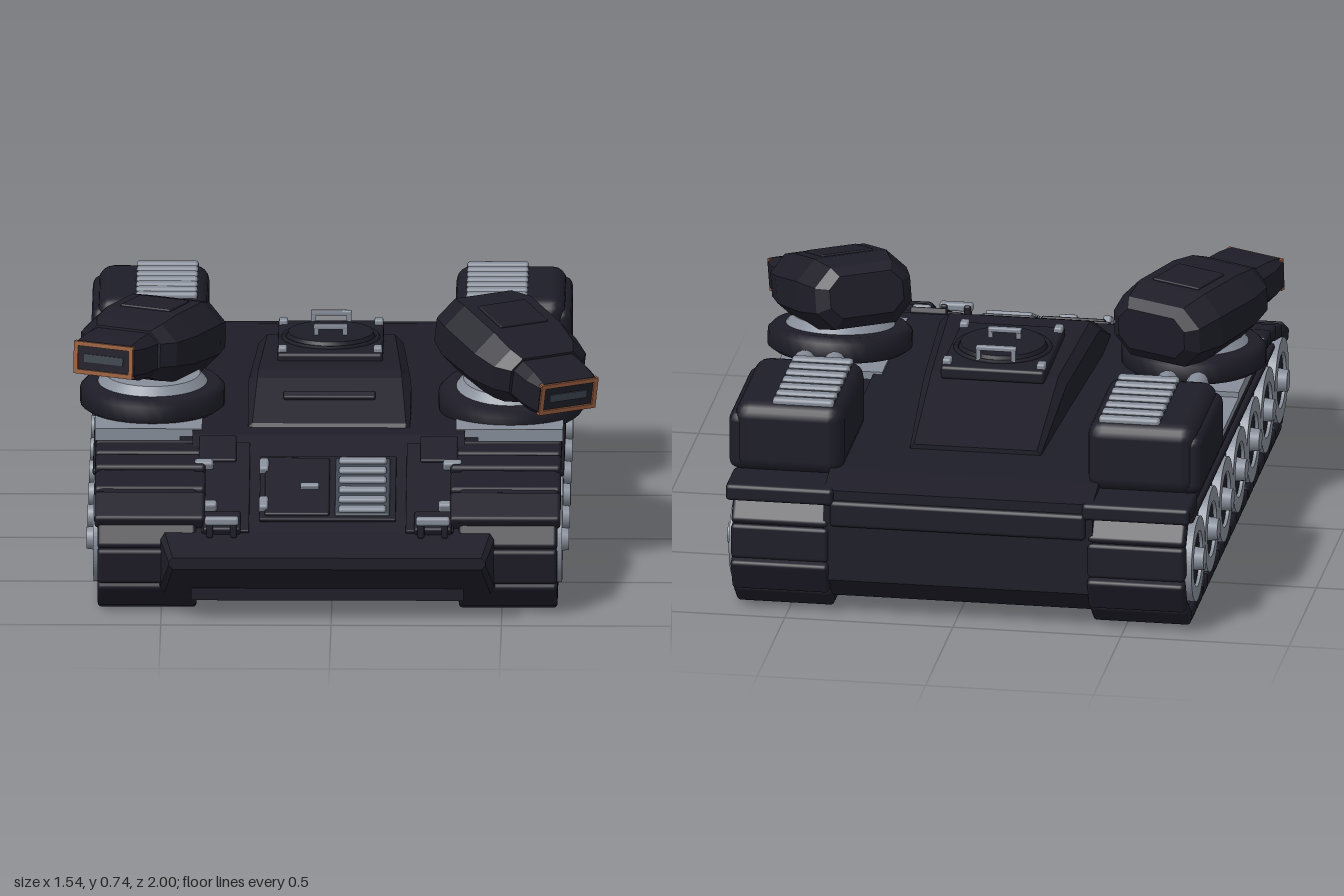
import * as THREE from 'three';
import { RoundedBoxGeometry } from 'three/addons/geometries/RoundedBoxGeometry.js';

const mat = (name, color) => {
  const m = new THREE.MeshStandardMaterial({ color });
  m.name = name;
  return m;
};

export function createModel() {
  const dark = mat('dark armour', 0x1e1d28);
  const steel = mat('light steel', 0x868d99);
  const slate = mat('slate side panel', 0x3d444e);
  const copper = mat('copper rim', 0x9a6040);
  const root = new THREE.Group();
  root.name = 'tank';
  const chassis = new THREE.Group();
  chassis.name = 'chassis';
  chassis.position.x = -0.012;
  root.add(chassis);

  const add = (name, geo, material, x = 0, y = 0, z = 0, parent = chassis) => {
    const m = new THREE.Mesh(geo, material);
    m.name = name;
    m.position.set(x, y, z);
    parent.add(m);
    return m;
  };
  const box = (w, h, d) => new THREE.BoxGeometry(w, h, d);
  const rbox = (w, h, d, r = 0.012) => new RoundedBoxGeometry(w, h, d, 2, r);
  const group = (name, x, y, z, parent = chassis) => {
    const g = new THREE.Group();
    g.name = name;
    g.position.set(x, y, z);
    parent.add(g);
    return g;
  };

  // Loft of bevelled rectangles, each [z, width, bottom, top, bevel], z increasing
  const loft = (sections) => {
    const rings = sections.map(([z, w, b, t, c]) => {
      const x = w / 2;
      return [[x, b + c], [x, t - c], [x - c, t], [c - x, t], [-x, t - c], [-x, b + c], [c - x, b], [x - c, b]]
        .map(([px, py]) => [px, py, z]);
    });
    const v = [];
    const n = rings.length;
    for (let j = 0; j < 8; j++) {
      const k = (j + 1) % 8;
      for (let i = 0; i + 1 < n; i++) {
        const [a, b, c, d] = [rings[i][j], rings[i][k], rings[i + 1][k], rings[i + 1][j]];
        v.push(...a, ...b, ...c, ...a, ...c, ...d);
      }
      if (j > 0 && j < 7) {
        v.push(...rings[n - 1][0], ...rings[n - 1][j], ...rings[n - 1][k]);
        v.push(...rings[0][0], ...rings[0][k], ...rings[0][j]);
      }
    }
    const g = new THREE.BufferGeometry();
    g.setAttribute('position', new THREE.Float32BufferAttribute(v, 3));
    g.computeVertexNormals();
    return g;
  };

  // Side outline of [z, y] points extruded across x
  const sideExtrude = (pts, width) => {
    const s = new THREE.Shape(pts.map(([z, y]) => new THREE.Vector2(-z, y)));
    const g = new THREE.ExtrudeGeometry(s, { depth: width, bevelEnabled: false });
    g.translate(0, 0, -width / 2);
    return g.rotateY(Math.PI / 2);
  };

  // Hull and wedge nose
  add('hull', sideExtrude([[0.9, 0.05], [0.9, 0.24], [0.45, 0.435], [-0.86, 0.425], [-0.98, 0.4],
    [-0.98, 0.12], [-0.9, 0.045]], 0.8), dark);
  add('nose', loft([[0.83, 0.99, 0.045, 0.255, 0.015], [0.88, 0.985, 0.07, 0.25, 0.015],
    [1.0, 0.93, 0.17, 0.205, 0.012]]), dark);
  add('rearPlate', rbox(0.76, 0.08, 0.04), dark, 0, 0.33, -0.975);

  // Tracks, wheels and fenders
  const loop = [[0.8, 0.024], [0.87, 0.1], [0.88, 0.2], [0.83, 0.3], [0.64, 0.36], [0.45, 0.375],
    [-0.9, 0.365], [-0.965, 0.29], [-0.965, 0.13], [-0.87, 0.024]];
  const path = new THREE.CurvePath();
  loop.forEach((p, i) => {
    const q = loop[(i + 1) % loop.length];
    path.add(new THREE.LineCurve3(new THREE.Vector3(0, p[1], p[0]), new THREE.Vector3(0, q[1], q[0])));
  });
  const links = 40;
  const spots = path.getSpacedPoints(links * 2);
  const linkGeo = rbox(0.29, 0.046, 0.106, 0.012);
  const rimShape = new THREE.Shape().absarc(0, 0, 0.127, 0, Math.PI * 2);
  rimShape.holes.push(new THREE.Path().absarc(0, 0, 0.083, 0, Math.PI * 2, true));
  const rimGeo = new THREE.ExtrudeGeometry(rimShape, { depth: 0.05, bevelEnabled: false, curveSegments: 32 })
    .translate(0, 0, -0.03).rotateY(Math.PI / 2);
  const discGeo = new THREE.CylinderGeometry(0.084, 0.084, 0.04, 28).rotateZ(Math.PI / 2);
  const hubGeo = new THREE.CylinderGeometry(0.038, 0.032, 0.05, 20).rotateZ(Math.PI / 2);

  for (const s of [-1, 1]) {
    const track = group(s > 0 ? 'leftTrack' : 'rightTrack', s * 0.53, 0, 0);
    add('trackCore', sideExtrude(loop, 0.264), slate, 0, 0, 0, track);
    for (let i = 0; i < links; i++) {
      const a = spots[i * 2], m = spots[i * 2 + 1], b = spots[i * 2 + 2];
      const link = add('trackLink', linkGeo, dark, 0, m.y, m.z, track);
      link.rotation.x = Math.atan2(a.y - b.y, b.z - a.z);
    }
    for (let i = 0; i < 7; i++) {
      const wheel = group('wheel', s * 0.668, 0.19, 0.715 - i * 0.255);
      if (s < 0) wheel.rotation.y = Math.PI;
      add('wheelRim', rimGeo, steel, 0, 0, 0, wheel);
      add('wheelDisc', discGeo, dark, -0.01, 0, 0, wheel);
      add('wheelHub', hubGeo, steel, 0.015, 0, 0, wheel);
    }
    for (let i = 0; i < 4; i++) {
      const [z, y, tilt] = [[0.505, 0.39, 0.07], [0.595, 0.375, 0.12], [0.7, 0.345, 0.25], [0.82, 0.303, 0.5]][i];
      add('frontGuard', rbox(0.325, 0.045, 0.09 + i * 0.01), dark, s * 0.522, y, z).rotation.x = tilt;
    }
    add('fender', rbox(0.33, 0.035, 1.38), dark, s * 0.52, 0.385, -0.28);
    add('fenderRail', rbox(0.02, 0.022, 1.5, 0.008), dark, s * 0.682, 0.35, -0.18);
    add('rearMudguard', rbox(0.32, 0.05, 0.16), dark, s * 0.53, 0.38, -0.915);
    add('fenderPlate', box(0.25, 0.02, 0.82), steel, s * 0.562, 0.412, -0.01);
    add('turntablePlate', box(0.315, 0.024, 0.47), steel, s * 0.53, 0.426, 0.165);

    // Engine box with cooling slats and twin pipes
    add('engineBox', rbox(0.325, 0.215, 0.44, 0.045), dark, s * 0.525, 0.503, -0.645);
    add('engineBoxStep', rbox(0.1, 0.18, 0.42, 0.03), dark, s * 0.655, 0.49, -0.645);
    add('slatBed', box(0.18, 0.008, 0.37), slate, s * 0.485, 0.61, -0.645);
    for (let i = 0; i < 7; i++)
      add('coolingSlat', rbox(0.182, 0.024, 0.034, 0.01), steel, s * 0.485, 0.612, -0.82 + i * 0.058);
    for (const x of [0.495, 0.585])
      add('pipe', new THREE.CapsuleGeometry(0.033, 0.24, 4, 14).rotateX(Math.PI / 2), steel, s * x, 0.505, -0.31);
  }

  // Hood fittings, laid on the sloping front
  const hood = group('hood', 0, 0.338, 0.674);
  hood.rotation.x = 0.409;
  const onHood = (name, w, h, d, x, z, m) => add(name, rbox(w, h, d, Math.min(w, h, d) * 0.3), m, x, h / 2, (z - 0.674) / 0.917, hood);
  onHood('hoodPanel', 0.4, 0.012, 0.3, 0, 0.695, dark);
  onHood('hoodHatch', 0.19, 0.02, 0.27, -0.09, 0.695, dark);
  onHood('grilleFrame', 0.16, 0.018, 0.27, 0.102, 0.695, slate);
  for (let i = 0; i < 6; i++) onHood('grilleBar', 0.14, 0.028, 0.028, 0.102, 0.587 + i * 0.042, steel);
  onHood('hatchHandle', 0.055, 0.035, 0.018, -0.053, 0.705, steel);
  for (const z of [0.61, 0.775]) onHood('hatchHinge', 0.027, 0.032, 0.055, -0.188, z, steel);
  for (const s of [-1, 1]) {
    onHood('hoodSidePlate', 0.14, 0.012, 0.42, s * 0.3, 0.69, dark);
    onHood('sideBlock', 0.11, 0.02, 0.12, s * 0.325, 0.53, dark);
    onHood('sideClip', 0.055, 0.035, 0.028, s * 0.365, 0.605, steel);
    onHood('sideClip', 0.05, 0.035, 0.028, s * 0.35, 0.785, steel);
    onHood('towMount', 0.11, 0.025, 0.09, s * 0.31, 0.85, dark);
    add('towHook', rbox(0.1, 0.025, 0.028, 0.008), steel, s * 0.31, 0.293, 0.905);
    for (const x of [-0.035, 0.035]) add('towLug', rbox(0.02, 0.06, 0.03, 0.006), dark, s * 0.31 + x, 0.272, 0.9);
  }

  // Central cabin, with its vision slit and roof hatch
  const cabin = group('cabin', 0, 0, 0);
  add('cabinShell', loft([[-0.66, 0.39, 0.38, 0.44, 0.012], [-0.3, 0.425, 0.38, 0.54, 0.025],
    [0.15, 0.475, 0.38, 0.553, 0.028], [0.19, 0.48, 0.38, 0.538, 0.028], [0.36, 0.475, 0.38, 0.445, 0.012],
    [0.372, 0.47, 0.38, 0.43, 0.012]]), dark, 0, 0, 0, cabin);
  add('visionSlit', rbox(0.27, 0.018, 0.03, 0.006), dark, 0, 0.502, 0.26, cabin).rotation.x = 0.5;
  add('hatchPlate', rbox(0.31, 0.04, 0.39, 0.01), dark, 0, 0.552, -0.155, cabin);
  add('hatchLid', new THREE.CylinderGeometry(0.125, 0.135, 0.025, 32), dark, 0, 0.576, -0.155, cabin);
  add('hatchRing', new THREE.TorusGeometry(0.138, 0.008, 6, 32).rotateX(Math.PI / 2), dark, 0, 0.572, -0.155, cabin);
  for (const z of [-0.28, -0.12]) {
    const w = z < -0.2 ? 0.12 : 0.1;
    add('lidHandle', rbox(w, 0.014, 0.02, 0.004), steel, 0, 0.612, z, cabin);
    for (const s of [-1, 1]) add('handlePost', box(0.014, 0.036, 0.018), steel, s * (w / 2 - 0.008), 0.594, z, cabin);
  }
  for (const x of [-0.14, 0.14]) for (const z of [-0.31, 0.005])
    add('roofBolt', rbox(0.026, 0.022, 0.038, 0.006), steel, x, 0.576, z, cabin);

  // Twin side guns: tilted turntable, swivelling head, rimmed muzzle
  const headGeo = loft([[-0.215, 0.23, -0.07, 0.055, 0.035], [-0.185, 0.3, -0.105, 0.08, 0.055],
    [-0.1, 0.345, -0.112, 0.098, 0.06], [0.08, 0.345, -0.108, 0.094, 0.06], [0.17, 0.31, -0.09, 0.08, 0.05],
    [0.21, 0.24, -0.075, 0.065, 0.035]]);
  const muzzleGeo = loft([[0.17, 0.225, -0.075, 0.06, 0.03], [0.28, 0.22, -0.07, 0.055, 0.025],
    [0.345, 0.195, -0.055, 0.045, 0.012]]);
  const guns = [
    ['rightGun', -0.532, 0.637, 0.095, -0.42, -0.05, 0.05, 0.477],
    ['leftGun', 0.52, 0.628, 0.15, 0.53, 0.21, 0.13, 0.466],
  ];
  for (const [name, x, y, z, yaw, pitch, tilt, baseY] of guns) {
    const base = group(name + 'Turntable', x, baseY, 0.14, root);
    base.rotation.x = tilt;
    add('turntable', new THREE.LatheGeometry([[0, -0.04], [0.19, -0.04], [0.213, -0.024], [0.213, 0.022], [0.195, 0.04], [0, 0.04]]
      .map(([r, h]) => new THREE.Vector2(r, h)), 36), dark, 0, 0, 0, base);
    add('swivelRing', new THREE.CylinderGeometry(0.14, 0.165, 0.03, 32), steel, 0, 0.05, 0, base);
    const gun = group(name, x, y, z, root);
    gun.rotation.set(pitch, yaw, 0, 'YXZ');
    add('gunHead', headGeo, dark, 0, 0, 0, gun);
    add('topPanel', rbox(0.16, 0.01, 0.14, 0.004), dark, 0, 0.097, -0.01, gun).rotation.x = 0.02;
    add('muzzle', muzzleGeo, dark, 0, 0, 0, gun);
    for (const s of [-1, 1]) {
      add('muzzleRim', box(0.19, 0.013, 0.016), copper, 0, -0.005 + s * 0.042, 0.343, gun);
      add('muzzleRim', box(0.013, 0.097, 0.016), copper, s * 0.0885, -0.005, 0.343, gun);
    }
    add('muzzleSlot', box(0.125, 0.024, 0.009), slate, 0, -0.005, 0.344, gun);
  }
  return root;
}
